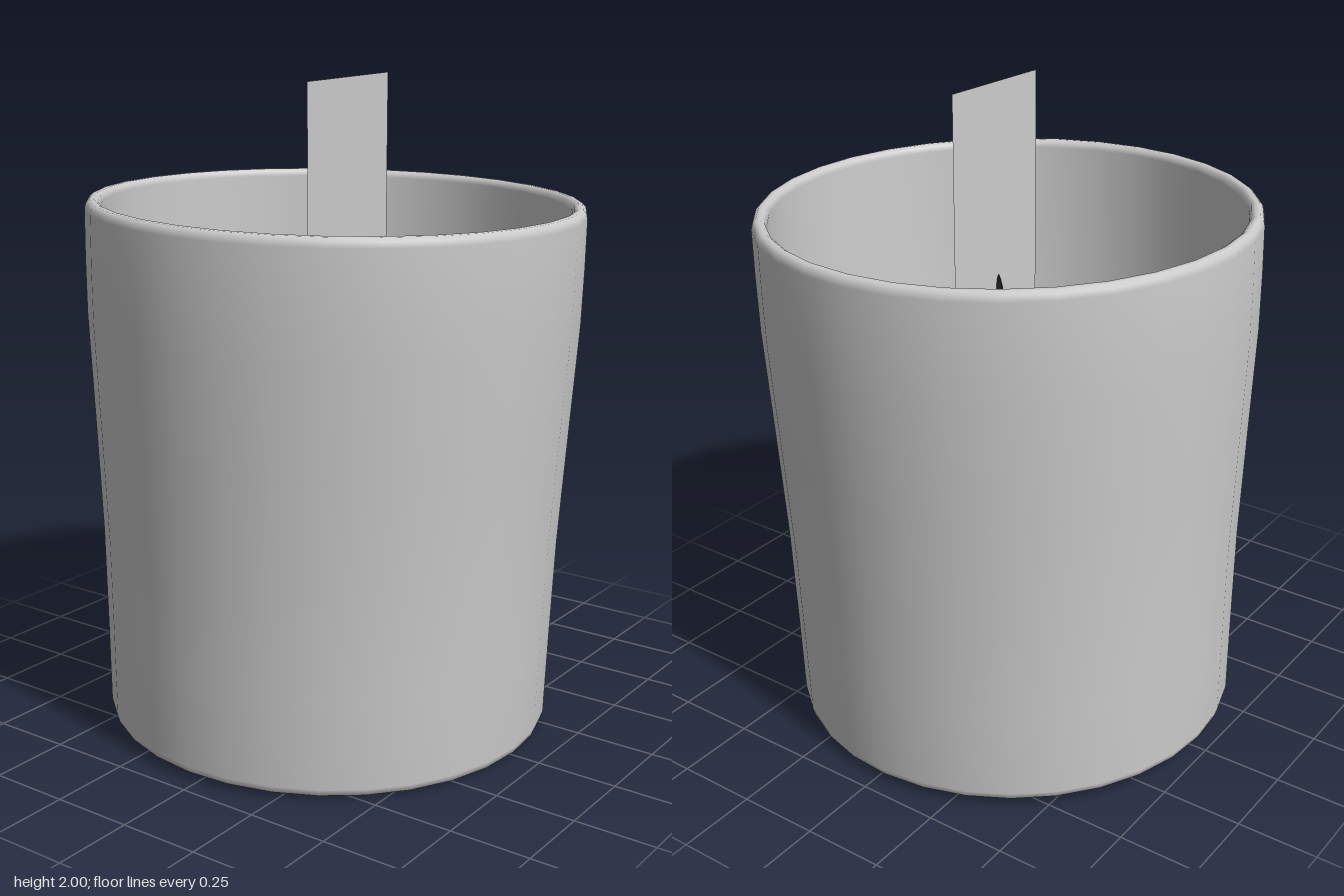
import * as THREE from 'three';

const TILT = -0.021; // slight lean of the whole candle towards +x
const grey = new THREE.MeshStandardMaterial({ color: 0xcccccc });
const greyDouble = new THREE.MeshStandardMaterial({ color: 0xcccccc, side: THREE.DoubleSide });
const black = new THREE.MeshStandardMaterial({ color: 0x111111 });

function addMesh(parent, name, geometry, material) {
  const mesh = new THREE.Mesh(geometry, material);
  mesh.name = name;
  parent.add(mesh);
  return mesh;
}

export function createModel() {
  const model = new THREE.Group();
  model.name = 'candle';

  const body = new THREE.Group();
  body.name = 'body';
  body.position.set(-0.03, 0.0145, 0);
  body.rotation.z = TILT;
  model.add(body);

  // Cup: outer wall, rounded rim, inner wall and floor in one profile
  const profile = [
    [0, 0], [0.66, 0], [0.678, 0.002], [0.691, 0.01], [0.697, 0.03],
    [0.703, 0.3], [0.711, 0.6], [0.729, 0.95], [0.747, 1.28], [0.75, 1.45],
    [0.75, 1.595], [0.746, 1.612], [0.736, 1.622], [0.722, 1.623], [0.711, 1.615], [0.706, 1.6],
    [0.703, 1.28], [0.685, 0.95], [0.667, 0.6], [0.652, 0.3], [0.64, 0.07], [0.63, 0.06], [0, 0.06],
  ].map(([r, y]) => new THREE.Vector2(r, y));
  addMesh(body, 'cup', new THREE.LatheGeometry(profile, 32), grey);

  // Wax fill, just clear of the wall
  const wax = addMesh(body, 'wax', new THREE.CylinderGeometry(0.622, 0.605, 1.045, 32), grey);
  wax.position.set(-0.028, 0.06 + 1.045 / 2, 0);

  // Wick, bending towards +x through the flame card
  const wickPath = new THREE.CatmullRomCurve3([
    new THREE.Vector3(0.018, 1.08, -0.006),
    new THREE.Vector3(0.018, 1.22, -0.006),
    new THREE.Vector3(0.023, 1.33, -0.008),
    new THREE.Vector3(0.043, 1.405, -0.01),
  ]);
  const wick = new THREE.Group();
  wick.name = 'wick';
  model.add(wick);
  addMesh(wick, 'wickStem', new THREE.TubeGeometry(wickPath, 10, 0.013, 8), black);
  addMesh(wick, 'wickTip', new THREE.SphereGeometry(0.0145, 8, 6), black)
    .position.copy(wickPath.getPoint(1));

  // Flat upright card for the flame
  const card = addMesh(model, 'flameCard',
    new THREE.PlaneGeometry(0.41, 0.68).rotateY(Math.PI / 2), greyDouble);
  card.position.set(0.037, 1.655, -0.014);
  card.rotation.set(0.025, 0, TILT);

  return model;
}
